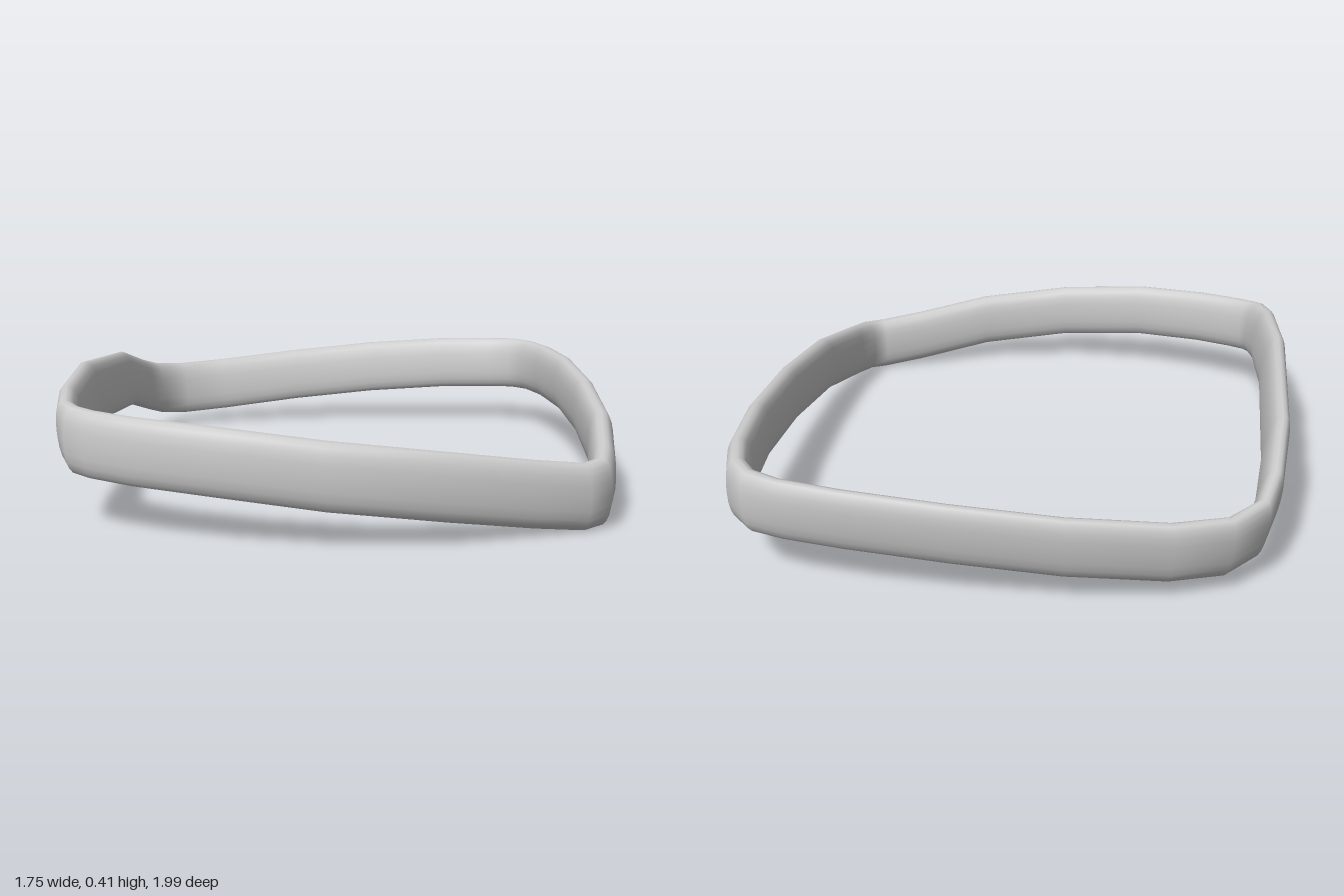
import * as THREE from 'three';

// Outer outline of the band, clockwise from the back: x, z, height of the lower edge
const OUTLINE = [
  [0.10, -1.00, 0.115], [0.41, -0.99, 0.135], [0.60, -0.96, 0.14], [0.71, -0.92, 0.143],
  [0.78, -0.84, 0.143], [0.83, -0.69, 0.14], [0.865, -0.41, 0.135], [0.875, -0.05, 0.113],
  [0.86, 0.34, 0.07], [0.815, 0.62, 0.02], [0.78, 0.74, 0.004], [0.71, 0.795, 0.0],
  [0.56, 0.85, 0.02], [0.30, 0.95, 0.065], [-0.04, 0.995, 0.105], [-0.36, 0.95, 0.135],
  [-0.60, 0.87, 0.146], [-0.735, 0.80, 0.152], [-0.80, 0.75, 0.157], [-0.835, 0.69, 0.165],
  [-0.86, 0.54, 0.185], [-0.875, 0.20, 0.207], [-0.86, -0.37, 0.16], [-0.83, -0.62, 0.095],
  [-0.79, -0.75, 0.062], [-0.69, -0.85, 0.048], [-0.52, -0.92, 0.055], [-0.22, -0.98, 0.085],
];
const HALF_THICK = 0.04, HALF_HIGH = 0.1, SIDES = 20;

// Rounded, slightly squared cross-section
const squared = (v) => Math.sign(v) * Math.pow(Math.abs(v), 0.85);

function bandGeometry() {
  const n = OUTLINE.length, positions = [], index = [];
  for (let i = 0; i < n; i++) {
    const [x, z, low] = OUTLINE[i];
    const a = OUTLINE[(i + n - 1) % n], b = OUTLINE[(i + 1) % n];
    // Outward direction from the averaged directions of both neighbouring segments
    const t = new THREE.Vector2(x - a[0], z - a[1]).normalize()
      .add(new THREE.Vector2(b[0] - x, b[1] - z).normalize()).normalize();
    const nx = t.y, nz = -t.x;
    // The back and the right-hand side lean outwards a little at the top
    const lean = 0.016 * Math.min(1, Math.max(0, -(nx + nz)));
    for (let j = 0; j < SIDES; j++) {
      const angle = (j / SIDES) * Math.PI * 2;
      const up = squared(Math.sin(angle));
      const out = (HALF_THICK - lean * 0.3) * squared(Math.cos(angle)) + lean * up - HALF_THICK;
      positions.push(x + nx * out, low + HALF_HIGH * (1 + up), z + nz * out);
      const i2 = (i + 1) % n, j2 = (j + 1) % SIDES;
      const p = i * SIDES + j, q = i * SIDES + j2, r = i2 * SIDES + j, s = i2 * SIDES + j2;
      index.push(p, q, r, q, s, r);
    }
  }
  const geometry = new THREE.BufferGeometry();
  geometry.setAttribute('position', new THREE.Float32BufferAttribute(positions, 3));
  geometry.setIndex(index);
  geometry.computeVertexNormals();
  return geometry;
}

export function createModel() {
  const model = new THREE.Group();
  const band = new THREE.Mesh(bandGeometry(), new THREE.MeshStandardMaterial({ color: 0xcccccc }));
  band.name = 'band';
  model.add(band);
  return model;
}
